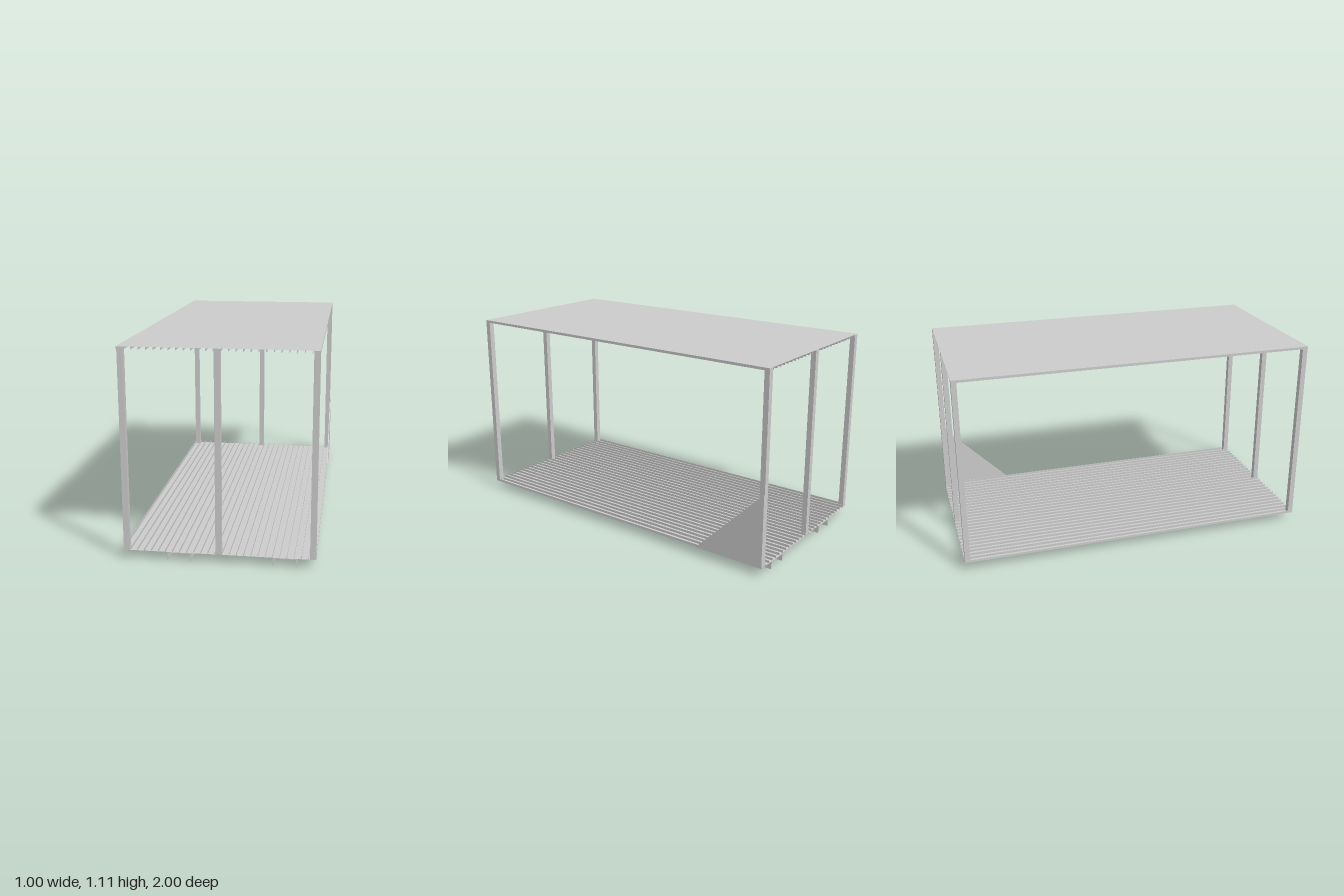
import * as THREE from 'three';

const X0 = -0.5, X1 = 0.494;        // deck edges
const FLOOR = 0.046, ROOF = 1.108;  // sheet heights
const RIB = 0.014;                  // rib height

export function createModel() {
  const model = new THREE.Group();
  const grey = new THREE.MeshStandardMaterial({ color: 0xcccccc, flatShading: true });
  const sheetGrey = new THREE.MeshStandardMaterial({
    color: 0xcccccc, flatShading: true, side: THREE.DoubleSide,
  });

  // box given by its min and max corners
  function box(parent, name, x0, x1, y0, y1, z0, z1) {
    const mesh = new THREE.Mesh(new THREE.BoxGeometry(x1 - x0, y1 - y0, z1 - z0), grey);
    mesh.position.set((x0 + x1) / 2, (y0 + y1) / 2, (z0 + z1) / 2);
    mesh.name = name;
    parent.add(mesh);
  }

  // thin sheet stiffened by lengthwise ribs, dir = side the ribs stand on
  function ribbedDeck(name, y, dir) {
    const deck = new THREE.Group();
    deck.name = name;
    const sheet = new THREE.Mesh(new THREE.PlaneGeometry(X1 - X0, 2), sheetGrey);
    sheet.rotation.x = dir * Math.PI / 2;
    sheet.position.set((X0 + X1) / 2, y, 0);
    sheet.name = name + 'Sheet';
    deck.add(sheet);
    const count = 28, t = 0.002;
    for (let i = 0; i < count; i++) {
      const x = X0 + (X1 - X0 - t) * i / (count - 1);
      const tip = y + dir * RIB;
      box(deck, name + 'Rib', x, x + t, Math.min(y, tip), Math.max(y, tip), -1, 1);
    }
    model.add(deck);
  }
  ribbedDeck('floor', FLOOR, 1);
  ribbedDeck('roof', ROOF, -1);

  // three posts along each end
  for (const x of [-0.497, -0.018, 0.463]) {
    for (const z of [-1, 0.971]) {
      box(model, 'post', x, x + 0.031, FLOOR, ROOF - 0.001, z, z + 0.029);
    }
  }

  // inverted channel runners under the floor
  for (const x of [-0.268, 0.275]) {
    const runner = new THREE.Group();
    runner.name = 'runner';
    box(runner, 'runnerWeb', x, x + 0.121, 0.04, FLOOR - 0.001, -1, 1);
    box(runner, 'runnerFlange', x, x + 0.003, 0, 0.04, -1, 1);
    box(runner, 'runnerFlange', x + 0.118, x + 0.121, 0, 0.04, -1, 1);
    model.add(runner);
  }

  // triangular plate on the left rear corner
  const shape = new THREE.Shape([
    new THREE.Vector2(1, FLOOR),
    new THREE.Vector2(1, 0.457),
    new THREE.Vector2(0.588, FLOOR),
  ]);
  const plate = new THREE.Mesh(
    new THREE.ExtrudeGeometry(shape, { depth: 0.006, bevelEnabled: false }), grey);
  plate.rotation.y = Math.PI / 2;
  plate.position.x = X1;
  plate.name = 'cornerPlate';
  model.add(plate);

  return model;
}
